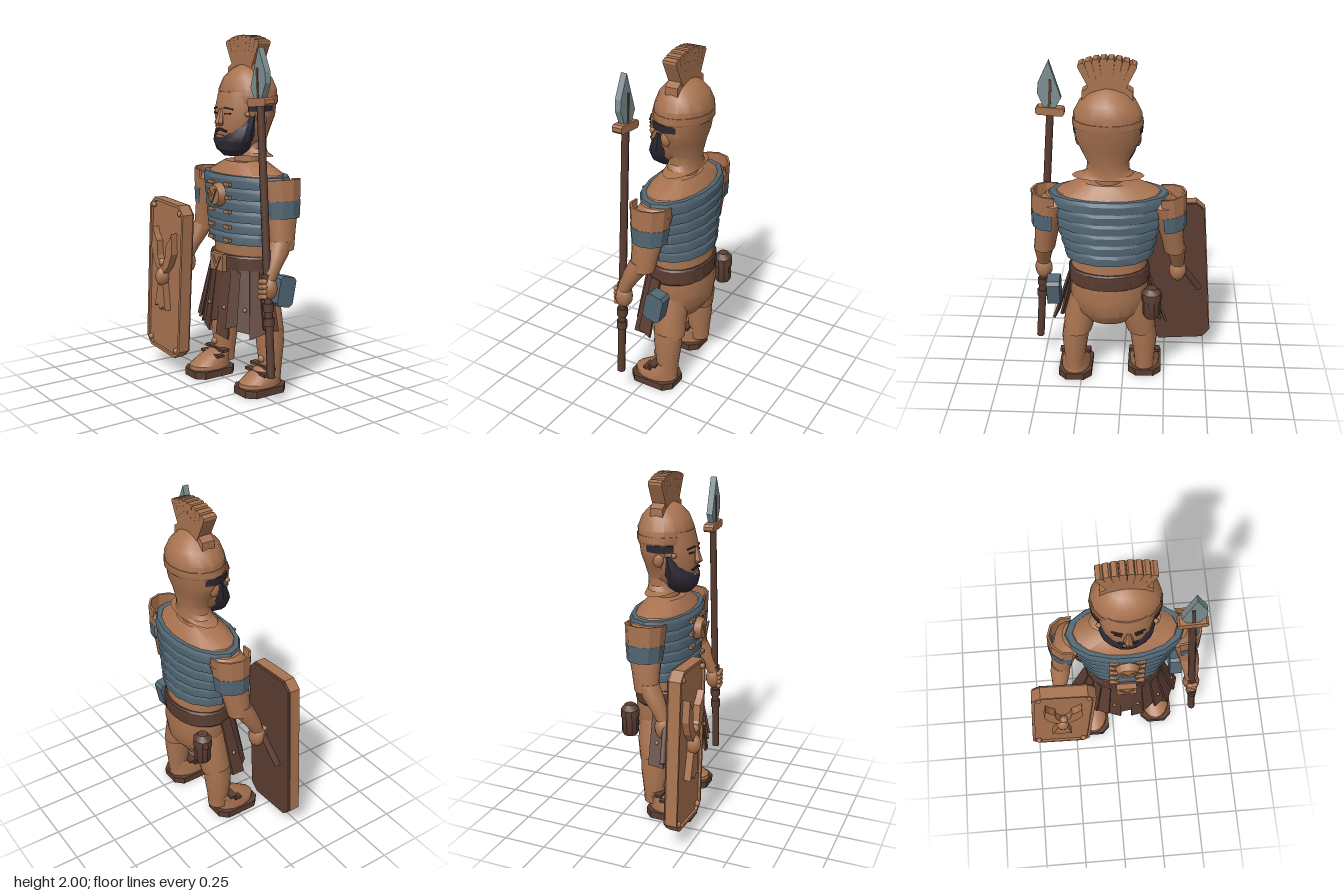
import * as THREE from 'three';
import { toCreasedNormals } from 'three/addons/utils/BufferGeometryUtils.js';

const paint = (name, color) => Object.assign(new THREE.MeshStandardMaterial({ color, side: THREE.DoubleSide }), { name });
const CX = 0.08, CZ = -0.09; // body axis

// Solid made from elliptical rings [x, y, z, rx, rz], listed bottom to top
function loft(rings, n = 16) {
  const pos = [], idx = [], last = (rings.length - 1) * n;
  for (const [x, y, z, rx, rz] of rings)
    for (let j = 0; j < n; j++) {
      const a = (j / n) * Math.PI * 2;
      pos.push(x + rx * Math.cos(a), y, z + rz * Math.sin(a));
    }
  for (let i = 0; i < rings.length - 1; i++)
    for (let j = 0; j < n; j++) {
      const k = (j + 1) % n, a = i * n + j, b = a + n, c = (i + 1) * n + k, d = i * n + k;
      idx.push(a, b, c, a, c, d);
    }
  for (let j = 1; j < n - 1; j++) idx.push(0, j, j + 1, last, last + j + 1, last + j);
  const g = new THREE.BufferGeometry();
  g.setAttribute('position', new THREE.Float32BufferAttribute(pos, 3));
  g.setIndex(idx);
  return toCreasedNormals(g, 0.55);
}

const shape = pts => new THREE.Shape(pts.map(p => new THREE.Vector2(...p)));
const slab = (s, depth) => new THREE.ExtrudeGeometry(s, { depth, bevelEnabled: false });
const box = (w, h, d) => new THREE.BoxGeometry(w, h, d);
const ball = (r, n = 10) => new THREE.SphereGeometry(r, n, 8);

// Rectangle with cut corners
function cutRect(w, h, c) {
  const x = w / 2, y = h / 2;
  return shape([[-x + c, -y], [x - c, -y], [x, -y + c], [x, y - c], [x - c, y], [-x + c, y], [-x, y - c], [-x, -y + c]]);
}

// Part of a ring wall, centred on the side s (+1 or -1) of the x axis
function arcWall(s, r0, r1, y0, y1, thick, angle, n) {
  const wall = [[r0, y0], [r1, y1], [r1 - thick, y1], [r0 - thick, y0], [r0, y0]].map(p => new THREE.Vector2(...p));
  return toCreasedNormals(new THREE.LatheGeometry(wall, n, s * Math.PI / 2 - angle / 2, angle), 0.3);
}

export function createModel() {
  const tan = paint('tan', 0xa87350), brown = paint('darkBrown', 0x5a3d32), blue = paint('blueSteel', 0x526775);
  const hair = paint('hair', 0x2e2935), steel = paint('bladeSteel', 0x7d8f92);
  const model = new THREE.Group();
  let parent = model;
  const add = (name, geo, mat, p = [0, 0, 0], r = [0, 0, 0]) => {
    const m = new THREE.Mesh(geo, mat);
    m.name = name;
    m.position.set(...p);
    m.rotation.set(...r, 'YXZ');
    parent.add(m);
    return m;
  };
  const group = (name, p = [0, 0, 0], rz = 0) => {
    parent = new THREE.Group();
    parent.name = name;
    parent.position.set(...p);
    parent.rotation.z = rz;
    model.add(parent);
  };
  const chevron = () => slab(shape([[-0.045, 0.035], [-0.025, 0.035], [0, -0.015], [0.025, 0.035], [0.045, 0.035], [0, -0.045]]), 0.008);

  // Head and face
  group('head');
  add('face', loft([[CX, 1.36, -0.03, 0.07, 0.08], [CX, 1.42, -0.05, 0.12, 0.13], [CX, 1.5, -0.05, 0.145, 0.137],
    [CX, 1.6, -0.05, 0.155, 0.135], [CX, 1.69, -0.06, 0.15, 0.12]], 20), tan);
  add('beard', loft([[CX, 1.335, 0, 0.055, 0.05], [CX, 1.37, 0, 0.11, 0.083], [CX, 1.42, 0, 0.138, 0.093],
    [CX, 1.45, -0.01, 0.149, 0.092], [CX, 1.5, -0.02, 0.153, 0.08], [CX, 1.56, -0.03, 0.157, 0.045]]), hair);
  add('nose', loft([[CX, 1.505, 0.085, 0.02, 0.02], [CX, 1.52, 0.09, 0.027, 0.032], [CX, 1.6, 0.08, 0.012, 0.012]], 8), tan);
  add('lips', box(0.06, 0.016, 0.012), tan, [CX, 1.446, 0.088]);
  for (const s of [-1, 1]) {
    add('moustache', box(0.055, 0.012, 0.012), hair, [CX + s * 0.024, 1.48, 0.086], [0, s * 0.2, -s * 0.25]);
    add('eye', box(0.04, 0.008, 0.008), hair, [CX + s * 0.056, 1.572, 0.077], [0, s * 0.35, 0]);
    add('eyebrow', box(0.06, 0.008, 0.008), hair, [CX + s * 0.06, 1.6, 0.075], [0, s * 0.38, -s * 0.15]);
    add('ear', ball(0.035), tan, [CX + s * 0.16, 1.54, -0.08]).scale.set(0.6, 1.2, 0.9);
    add('cheekStud', ball(0.015, 8), tan, [CX + s * 0.15, 1.57, 0.01]);
    add('templeHair', arcWall(s, 0.188, 0.191, 1.585, 1.625, 0.01, 1.3, 8), hair, [CX, 0, -0.085]).scale.z = 0.8;
  }

  // Helmet, neck guard and fan crest
  group('helmet');
  add('dome', loft([[CX, 1.62, -0.1, 0.188, 0.15], [CX, 1.7, -0.1, 0.185, 0.155], [CX, 1.765, -0.1, 0.152, 0.13],
    [CX, 1.815, -0.1, 0.1, 0.085], [CX, 1.843, -0.1, 0.035, 0.03]]), tan);
  add('brim', loft([[CX, 1.625, -0.1, 0.189, 0.155], [CX, 1.635, -0.1, 0.194, 0.158], [CX, 1.67, -0.1, 0.19, 0.158]]), tan);
  add('neckGuard', loft([[CX, 1.335, -0.11, 0.2, 0.09], [CX, 1.35, -0.11, 0.14, 0.088], [CX, 1.375, -0.11, 0.118, 0.088], [CX, 1.42, -0.11, 0.115, 0.09],
    [CX, 1.5, -0.11, 0.155, 0.105], [CX, 1.56, -0.11, 0.18, 0.125], [CX, 1.63, -0.1, 0.186, 0.148]]), tan);
  add('crestHolder', slab(shape([[-0.135, 0], [0.135, 0], [0.135, 0.055], [0.09, 0.085], [-0.09, 0.085], [-0.135, 0.055]]), 0.075), tan, [CX, 1.765, -0.137]);
  const plume = shape([[-0.011, 0.18], [0.011, 0.18], [0.0195, 0.34], [0.013, 0.352], [-0.013, 0.352], [-0.0195, 0.34]]);
  for (let i = 0; i < 8; i++) add('plume', slab(plume, 0.08), tan, [CX, 1.648, -0.14], [0, 0, (3.5 - i) * 0.118]);

  // Torso and banded armour
  group('torso');
  add('neck', loft([[CX, 1.27, -0.1, 0.075, 0.075], [CX, 1.42, -0.1, 0.07, 0.075]]), tan);
  add('collar', loft([[CX, 1.2, CZ, 0.31, 0.165], [CX, 1.24, CZ, 0.29, 0.15], [CX, 1.3, CZ, 0.155, 0.1]]), tan);
  add('hips', loft([[CX, 0.42, -0.1, 0.13, 0.1], [CX, 0.5, -0.11, 0.2, 0.15], [CX, 0.6, -0.11, 0.225, 0.163],
    [CX, 0.7, -0.1, 0.222, 0.165], [CX, 0.86, CZ, 0.215, 0.16]], 20), tan);
  for (let i = 0; i < 6; i++) {
    const y = 0.845 + i * 0.064, r = 0.245 + i * 0.0165;
    add('armourBand', loft([[CX, y, CZ, r + 0.009, 0.184], [CX, y + 0.045, CZ, r + 0.012, 0.187], [CX, y + 0.067, CZ, r + 0.004, 0.175]], 14), blue);
  }
  for (const y of [0.87, 0.945, 1.03, 1.11, 1.185])
    for (const s of [-1, 1]) add('clasp', box(0.055, 0.02, 0.02), tan, [CX + s * 0.075, y, 0.093]);
  add('medallion', new THREE.CylinderGeometry(0.055, 0.07, 0.04, 12), tan, [CX, 1.12, 0.115], [Math.PI / 2, 0, 0]);
  add('medallionChevron', chevron(), tan, [CX, 1.12, 0.142]);

  // Belt, buckle and strip skirt
  group('beltAndSkirt');
  add('belt', loft([[CX, 0.68, CZ, 0.228, 0.178], [CX, 0.69, CZ, 0.235, 0.184], [CX, 0.77, CZ, 0.233, 0.184], [CX, 0.78, CZ, 0.226, 0.177]], 20), brown);
  add('buckle', box(0.12, 0.1, 0.03), tan, [CX, 0.735, 0.098]);
  add('buckleChevron', chevron(), tan, [CX, 0.735, 0.112]);
  for (let i = 0; i < 11; i++) {
    const t = (i - 5) / 5, a = t * 1.35, len = 0.35 + 0.03 * Math.sin(i * 2.3), skew = 0.03 * (i % 2 ? 1 : -0.6);
    const strip = slab(shape([[-0.032, 0], [-0.045, -len], [0.045, -len + skew], [0.032, 0]]), 0.014);
    const p = [CX + 0.225 * Math.sin(a), 0.7, CZ + 0.165 * Math.cos(a)];
    const s = add('skirtStrip', strip, brown, p, [-0.13 - 0.17 * t * t, a, 0]);
    if (i % 2 === 0) {
      const stud = new THREE.Mesh(ball(0.012, 8), tan);
      stud.name = 'skirtStud';
      stud.position.set(0, -0.22, 0.014);
      s.add(stud);
    }
  }

  // Limbs, mirrored about the body axis; the right leg stands a little ahead
  for (const s of [-1, 1]) {
    const side = s > 0 ? 'left' : 'right', X = d => CX + s * d;
    const lz = s > 0 ? -0.115 : -0.09, fz = s > 0 ? -0.04 : 0.02;
    group(side + 'Leg');
    add('leg', loft([[X(0.21), 0.07, lz, 0.058, 0.062], [X(0.21), 0.14, lz, 0.062, 0.066], [X(0.205), 0.28, lz, 0.078, 0.083],
      [X(0.2), 0.36, lz, 0.074, 0.083]]), tan);
    add('thigh', loft([[X(0.19), 0.335, lz, 0.084, 0.094], [X(0.165), 0.45, -0.105, 0.097, 0.1], [X(0.12), 0.6, -0.1, 0.1, 0.11]]), tan);
    add('shinStud', ball(0.022), tan, [X(0.215), 0.19, lz + 0.068]);
    add('foot', loft([[X(0.21), 0.04, fz, 0.09, 0.135], [X(0.21), 0.065, fz, 0.09, 0.132], [X(0.21), 0.105, fz - 0.03, 0.078, 0.1],
      [X(0.21), 0.145, lz + 0.01, 0.064, 0.07]]), tan);
    add('sole', slab(cutRect(0.2, 0.28, 0.045), 0.042), brown, [X(0.21), 0, fz], [-Math.PI / 2, 0, 0]);
    for (const [y, z] of [[0.118, 0.09], [0.145, 0.055]]) add('ankleStrap', box(0.185, 0.016, 0.045), brown, [X(0.21), y, lz + z]);

    group(side + 'Arm');
    add('upperArm', loft([[X(0.375), 0.85, -0.06, 0.06, 0.07], [X(0.36), 0.95, -0.07, 0.066, 0.08], [X(0.335), 1.08, -0.085, 0.08, 0.1],
      [X(0.305), 1.17, CZ, 0.09, 0.11], [X(0.29), 1.215, CZ, 0.06, 0.08]]), tan);
    add('forearm', loft([[X(0.4), 0.68, 0.055, 0.035, 0.035], [X(0.395), 0.75, 0.025, 0.045, 0.048], [X(0.385), 0.83, -0.02, 0.058, 0.062],
      [X(0.375), 0.9, -0.055, 0.058, 0.065]]), tan);
    add('palm', ball(0.055), tan, [X(0.4), 0.655, 0.05]).scale.set(0.95, 1.25, 0.9);
    for (let i = 0; i < 4; i++)
      add('finger', new THREE.CapsuleGeometry(0.015, 0.04, 3, 8), tan, [X(0.4), 0.612 + i * 0.028, 0.09], [0, 0, Math.PI / 2 + s * 0.2]);

    // Open shoulder sleeve: a tan ring over a blue stripe, tipped up outwards
    for (const [name, y0, y1, r0, r1, mat] of [['sleeveStripe', -0.105, -0.01, 0.1, 0.11, blue], ['sleeve', -0.01, 0.105, 0.108, 0.117, tan]])
      add(name, arcWall(s, r0, r1, y0, y1, 0.013, 3.6, 6), mat, [X(0.33), 1.12, -0.085], [0, 0, s * 0.1]);
  }

  // Spear
  group('spear', [0.41, 1.63, 0.058], 0.075);
  add('shaft', new THREE.CylinderGeometry(0.021, 0.023, 1.47, 8), brown, [0, -0.735, 0]);
  for (const y of [-0.92, -1.08, -1.16]) add('shaftRing', new THREE.CylinderGeometry(0.031, 0.031, 0.045, 8), brown, [0, y, 0]);
  add('crossGuard', slab(cutRect(0.16, 0.045, 0.012), 0.06), tan, [0, 0.015, -0.03]);
  add('blade', slab(shape([[-0.03, 0.035], [0.035, 0.035], [0.073, 0.11], [0.073, 0.17], [0.022, 0.3], [-0.058, 0.095]]), 0.036), steel, [0, 0, -0.018]);
  add('bladeSpine', box(0.016, 0.17, 0.042), brown, [0.004, 0.11, 0]);

  // Shield with a raised bird ornament
  group('shield', [-0.32, 0.577, 0], -0.07);
  add('backPlate', slab(cutRect(0.36, 0.925, 0.045), 0.014), brown, [0, 0, 0.14]);
  add('frontPlate', slab(cutRect(0.37, 0.935, 0.05), 0.05), tan, [0, 0, 0.154]);
  const rim = cutRect(0.37, 0.935, 0.05);
  rim.holes.push(cutRect(0.335, 0.9, 0.045));
  add('rim', slab(rim, 0.015), tan, [0, 0, 0.203]);
  for (const sx of [-1, 1]) {
    for (const sy of [-1, 1]) add('rivet', ball(0.018, 8), tan, [sx * 0.145, sy * 0.42, 0.212]);
    const wing = shape([[0, -0.01], [0.035, 0.03], [0.08, 0.08], [0.115, 0.16], [0.105, 0.285], [0.08, 0.24], [0.05, 0.21], [0.04, 0.12], [0, 0.06]].map(([x, y]) => [x * sx, y]));
    add('birdWing', slab(wing, 0.04), tan, [0, 0.01, 0.204]);
  }
  add('birdTail', slab(shape([[-0.02, 0], [-0.06, -0.19], [-0.03, -0.17], [0, -0.2], [0.03, -0.17], [0.06, -0.19], [0.02, 0]]), 0.04), tan, [0, 0, 0.204]);
  add('birdBody', ball(0.045, 12), tan, [0, 0.01, 0.23]).scale.set(0.9, 1.3, 1);
  add('birdHead', ball(0.025), tan, [0.005, 0.1, 0.235]);
  add('birdBeak', new THREE.ConeGeometry(0.012, 0.035, 5), tan, [-0.025, 0.095, 0.235], [0, 0, 1.9]);

  // Shield grip
  parent = model;
  const a = new THREE.Vector3(-0.29, 0.75, 0.06), b = new THREE.Vector3(-0.455, 0.5, 0.105);
  add('shieldGrip', new THREE.CylinderGeometry(0.02, 0.02, a.distanceTo(b), 8), brown, a.clone().lerp(b, 0.5).toArray())
    .quaternion.setFromUnitVectors(new THREE.Vector3(0, 1, 0), a.clone().sub(b).normalize());

  // Belt pouch and flask
  add('pouch', loft([[-0.17, 0.5, -0.225, 0.04, 0.04], [-0.17, 0.52, -0.225, 0.052, 0.05], [-0.17, 0.62, -0.225, 0.052, 0.05]], 10), brown);
  add('pouchLid', loft([[-0.17, 0.615, -0.225, 0.06, 0.055], [-0.17, 0.66, -0.225, 0.058, 0.053], [-0.17, 0.69, -0.225, 0.03, 0.03]], 10), brown);
  add('flask', slab(cutRect(0.11, 0.17, 0.018), 0.075), blue, [0.365, 0.6, -0.11], [0, Math.PI / 2, -0.2]);

  return model;
}
